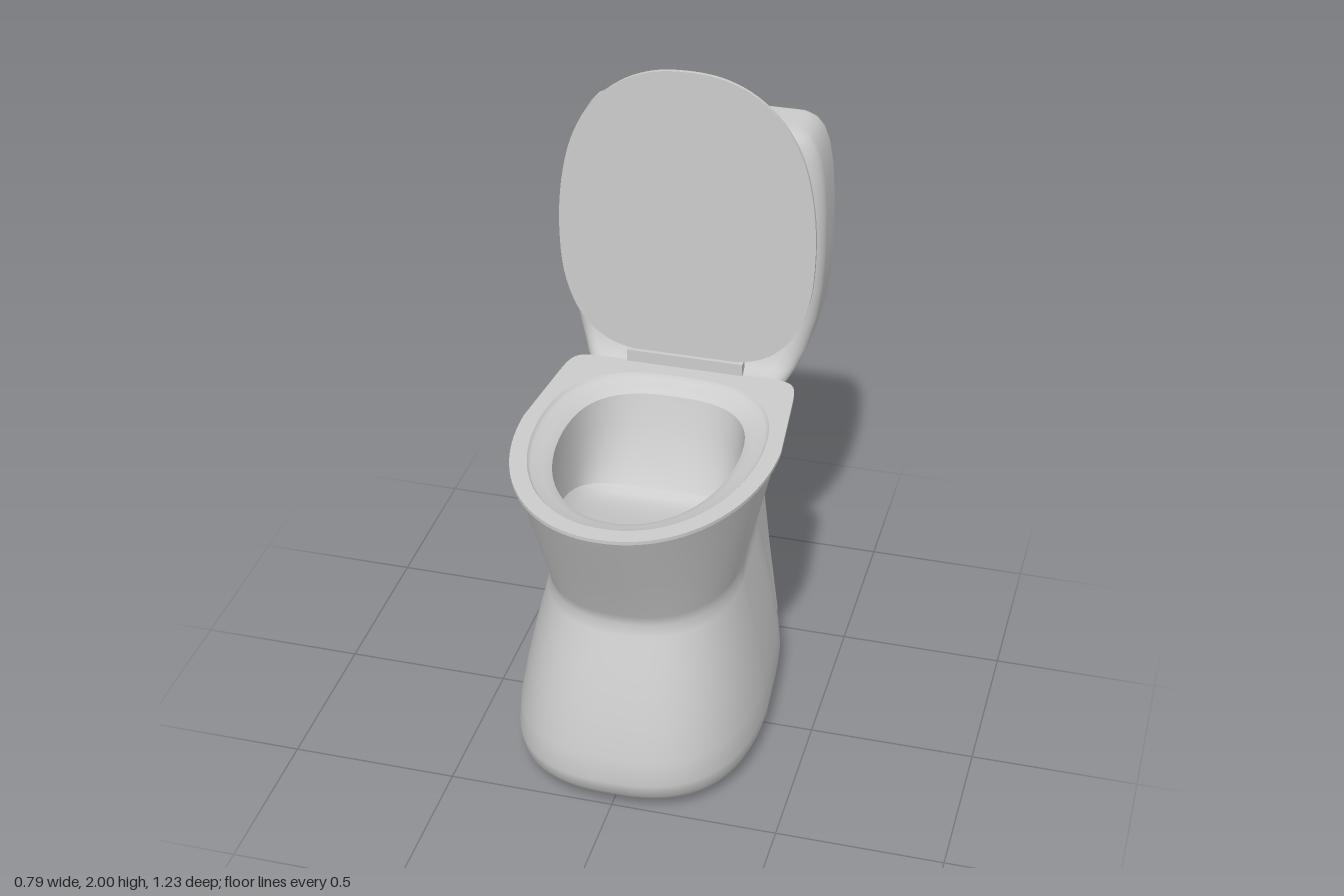
import * as THREE from 'three';

const SEG = 96;

// D-shaped horizontal section: separate roundness for the front and back halves, tapered rear
function ring({ y, w, f, b, c = 0.05, n = 2.1, nb = 14, taper = 0.1, tilt = 0 }) {
  const pts = [];
  for (let i = 0; i < SEG; i++) {
    const a = (i / SEG) * Math.PI * 2;
    const co = Math.cos(a), si = Math.sin(a);
    const e = 2 / (si >= 0 ? n : nb);
    const px = Math.sign(co) * Math.abs(co) ** e;
    const pz = Math.abs(si) ** e;
    const x = w * px * (si < 0 ? 1 - taper * pz : 1);
    const z = si >= 0 ? c + (f - c) * pz : c + (b - c) * pz;
    pts.push(new THREE.Vector3(x, y + tilt * (z - c), z));
  }
  return pts;
}

// Rectangular section with rounded front and back corners
function rectRing([y, w, f, b, rFront = 0.06, rBack = 0.025]) {
  const pts = [], per = SEG / 4;
  for (let q = 0; q < 4; q++) {
    const r = Math.min(q < 2 ? rFront : rBack, w, (f - b) / 2);
    const cx = (q === 0 || q === 3 ? 1 : -1) * (w - r);
    const cz = q < 2 ? f - r : b + r;
    for (let i = 0; i < per; i++) {
      const a = (q + i / (per - 1)) * Math.PI / 2;
      pts.push(new THREE.Vector3(cx + r * Math.cos(a), y, cz + r * Math.sin(a)));
    }
  }
  return pts;
}

// Smooth skin through a run of rings
function loft(rings) {
  const pos = [], idx = [];
  rings.forEach(r => r.forEach(p => pos.push(p.x, p.y, p.z)));
  for (let i = 0; i < rings.length - 1; i++) {
    for (let j = 0; j < SEG; j++) {
      const k = (j + 1) % SEG;
      const a = i * SEG + j, b = i * SEG + k;
      idx.push(a, a + SEG, b, b, a + SEG, b + SEG);
    }
  }
  const g = new THREE.BufferGeometry();
  g.setAttribute('position', new THREE.Float32BufferAttribute(pos, 3));
  g.setIndex(idx);
  g.computeVertexNormals();
  return g;
}

export function createModel() {
  const model = new THREE.Group();
  const ceramic = new THREE.MeshStandardMaterial({ color: 0xcccccc });
  ceramic.name = 'ceramic';
  const add = (parent, name, geometry) => {
    const m = new THREE.Mesh(geometry, ceramic);
    m.name = name;
    parent.add(m);
    return m;
  };
  const rows = list => list.map(([y, w, f, b, n, nb]) => ring({ y, w, f, b, n, nb }));

  // Bowl: rounded foot, pinched waist, flared top
  const bowl = new THREE.Group();
  bowl.name = 'bowl';
  model.add(bowl);
  add(bowl, 'bowlShell', loft(rows([
    [0.005, 0.001, 0.051, 0.049, 2.6, 6], [0.008, 0.25, 0.3, -0.37, 2.6, 6], [0.018, 0.32, 0.43, -0.39, 2.6, 6],
    [0.04, 0.352, 0.5, -0.4, 2.6, 6], [0.075, 0.367, 0.533, -0.4, 2.6, 6], [0.12, 0.371, 0.545, -0.395, 2.6, 6],
    [0.2, 0.364, 0.535, -0.388, 2.6, 6], [0.32, 0.344, 0.506, -0.376, 2.55, 6], [0.45, 0.317, 0.465, -0.363, 2.5, 6],
    [0.57, 0.289, 0.421, -0.35, 2.4, 6], [0.605, 0.282, 0.41, -0.35, 2.4, 6], [0.64, 0.288, 0.421, -0.35, 2.35, 6],
    [0.8, 0.325, 0.497, -0.35, 2.2, 8], [0.95, 0.36, 0.57, -0.35, 2.1, 11], [1.02, 0.376, 0.602, -0.342, 2.1, 14],
  ])));
  // Thin projecting rim
  const rim = y => ring({ y, w: 0.388, f: 0.614, b: -0.343 });
  add(bowl, 'rimUnderside', loft([ring({ y: 1.02, w: 0.37, f: 0.595, b: -0.335 }), rim(1.02)]));
  add(bowl, 'rimEdge', loft([rim(1.02), rim(1.031)]));
  const inner = { nb: 2.7, taper: 0.04 };
  const outline = ring({ y: 1.031, w: 0.338, f: 0.56, b: -0.285, ...inner });
  add(bowl, 'rimTop', loft([rim(1.031), outline]));
  // Sunken lip around the opening
  const lip = ring({ y: 0.995, w: 0.268, f: 0.475, b: -0.225, ...inner });
  add(bowl, 'innerLip', loft([
    outline,
    ring({ y: 1.018, w: 0.328, f: 0.55, b: -0.277, ...inner }),
    ring({ y: 1.012, w: 0.295, f: 0.51, b: -0.25, ...inner }),
    lip,
  ]));
  // Basin wall, steep at the rear, and a floor rising toward the front
  const basin = (y, w, f, b, tilt, nb) => ring({ y, w, f, b, tilt, nb, n: 2.2, taper: 0.06 });
  add(bowl, 'basinWall', loft([
    lip,
    basin(0.92, 0.266, 0.473, -0.195, 0.1, 2.8),
    basin(0.84, 0.262, 0.47, -0.15, 0.22, 3.1),
    basin(0.78, 0.255, 0.464, -0.105, 0.28, 3.4),
  ]));
  add(bowl, 'basinFloor', loft([
    basin(0.78, 0.255, 0.464, -0.105, 0.28, 3.4),
    basin(0.752, 0.225, 0.41, -0.085, 0.25, 3.2),
    basin(0.735, 0.17, 0.31, -0.055, 0.22, 3),
    basin(0.727, 0.08, 0.17, 0, 0.2, 2.5),
    basin(0.725, 0.001, 0.051, 0.049, 0, 2),
  ]));

  // Rear column that widens into the water tank
  const column = list => loft(list.map(rectRing));
  const tank = new THREE.Group();
  tank.name = 'columnAndTank';
  model.add(tank);
  add(tank, 'columnFoot', column([[0, 0.001, -0.456, -0.458], [0, 0.258, -0.3, -0.615, 0.02]]));
  add(tank, 'columnAndTankShell', column([
    [0, 0.258, -0.3, -0.615, 0.02], [0.3, 0.238, -0.3, -0.553, 0.02], [0.57, 0.224, -0.3, -0.496, 0.02],
    [0.605, 0.222, -0.3, -0.49, 0.02], [0.64, 0.224, -0.3, -0.499, 0.02], [0.8, 0.24, -0.3, -0.545, 0.02],
    [0.92, 0.268, -0.32, -0.58, 0.04], [1.0, 0.305, -0.335, -0.6], [1.025, 0.32, -0.343, -0.604],
    [1.045, 0.332, -0.367, -0.607], [1.1, 0.356, -0.393, -0.613], [1.2, 0.38, -0.407, -0.615],
    [1.3, 0.392, -0.413, -0.615], [1.42, 0.396, -0.416, -0.615], [1.55, 0.393, -0.417, -0.615],
    [1.65, 0.385, -0.417, -0.615], [1.72, 0.372, -0.417, -0.615], [1.765, 0.355, -0.418, -0.614],
    [1.79, 0.334, -0.422, -0.611], [1.803, 0.31, -0.43, -0.604], [1.808, 0.285, -0.442, -0.592],
    [1.809, 0.25, -0.46, -0.575], [1.809, 0.001, -0.516, -0.518],
  ]));

  // Flush button
  const button = add(tank, 'flushButton', new THREE.CylinderGeometry(0.026, 0.026, 0.03, 32));
  button.scale.z = 0.5;
  button.position.set(0, 1.815, -0.517);

  // Raised lid, egg-shaped and thin
  const half = [[0.105, 1.989], [0.2, 1.948], [0.285, 1.872], [0.345, 1.765], [0.38, 1.62], [0.39, 1.45],
    [0.374, 1.29], [0.325, 1.17], [0.25, 1.098], [0.16, 1.069]];
  const egg = new THREE.CatmullRomCurve3([
    [0, 2], ...half, [0, 1.062], ...half.map(([x, y]) => [-x, y]).reverse(),
  ].map(([x, y]) => new THREE.Vector3(x, y, 0)), true);
  const lidShape = new THREE.Shape(egg.getPoints(96).slice(0, -1).map(p => new THREE.Vector2(p.x, p.y)));
  const lid = add(model, 'lid', new THREE.ExtrudeGeometry(lidShape, { depth: 0.012, bevelEnabled: false }));
  lid.position.z = -0.36;

  // Hinge bar
  const hinge = add(model, 'hinge', new THREE.BoxGeometry(0.36, 0.045, 0.034));
  hinge.position.set(0, 1.047, -0.352);

  return model;
}
